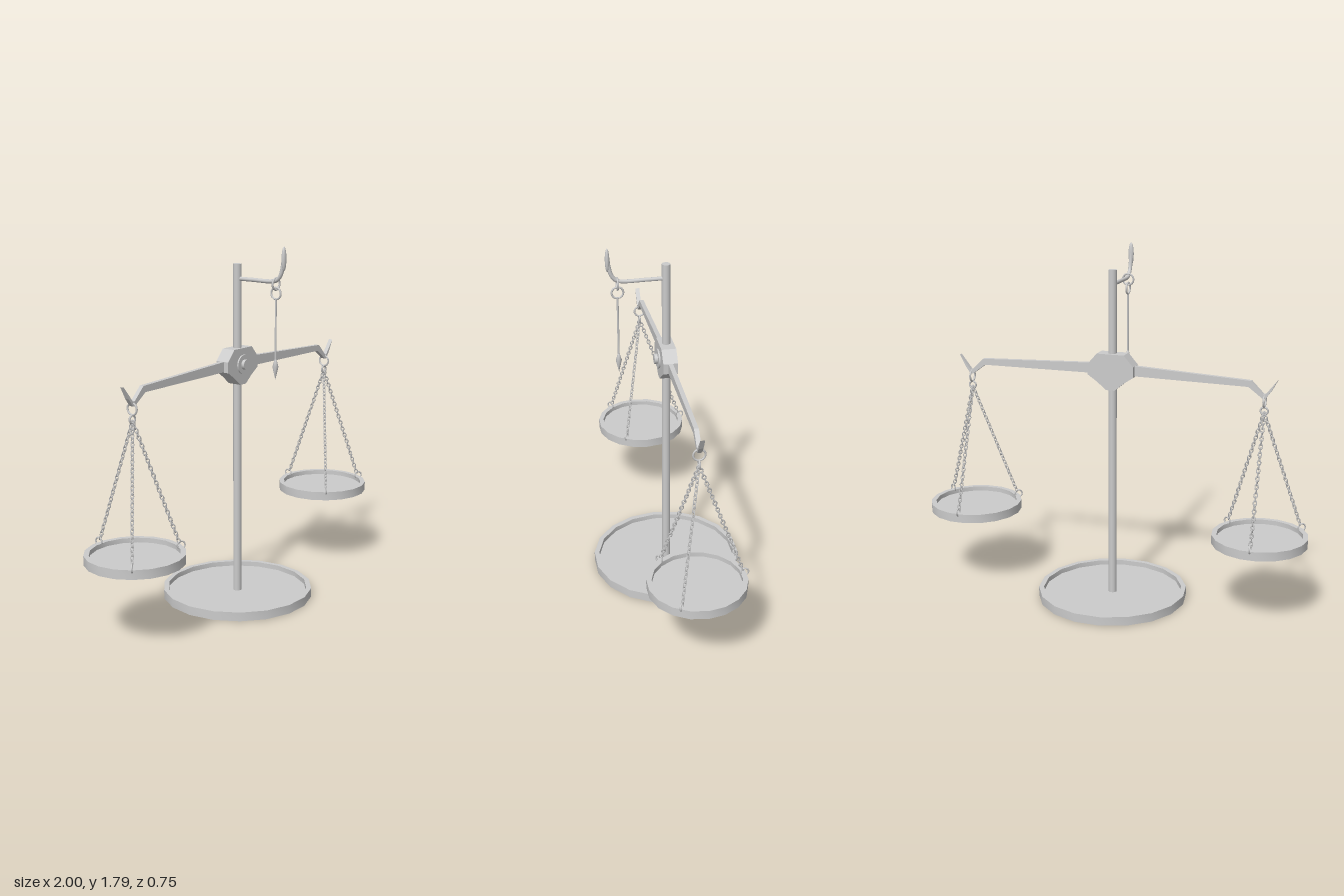
import * as THREE from 'three';
import { toCreasedNormals } from 'three/addons/utils/BufferGeometryUtils.js';

const mat = new THREE.MeshStandardMaterial({ color: 0xcccccc });
const V = (x, y, z) => new THREE.Vector3(x, y, z);

function add(parent, name, geo, x = 0, y = 0, z = 0) {
  const m = new THREE.Mesh(geo, mat);
  m.name = name;
  m.position.set(x, y, z);
  parent.add(m);
  return m;
}

// Shallow round tray with a raised rim
function dish(radius, height, floor, rim) {
  const p = [[0, 0], [radius, 0], [radius, height], [radius - rim, height], [radius - rim, floor], [0, floor]]
    .map(([x, y]) => new THREE.Vector2(x, y));
  return toCreasedNormals(new THREE.LatheGeometry(p, 18, Math.PI / 18), 0.6);
}

// Flat plate centred on z = 0
function plate(points, depth) {
  const s = new THREE.Shape(points.map(([x, y]) => new THREE.Vector2(x, y)));
  return new THREE.ExtrudeGeometry(s, { depth, bevelEnabled: false }).translate(0, 0, -depth / 2);
}

// Oval links, alternately turned a quarter, strung from a to b
const link = new THREE.TorusGeometry(0.0085, 0.0028, 4, 8).scale(1, 1.5, 1);
function chain(a, b) {
  const g = new THREE.Group();
  g.name = 'chain';
  const dir = b.clone().sub(a);
  const n = Math.round(dir.length() / 0.0195);
  const aim = new THREE.Quaternion().setFromUnitVectors(V(0, 1, 0), dir.clone().normalize());
  for (let i = 0; i < n; i++) {
    const m = add(g, 'chainLink', link);
    m.position.copy(a).addScaledVector(dir, (i + 0.5) / n);
    m.quaternion.copy(aim).multiply(
      new THREE.Quaternion().setFromAxisAngle(V(0, 1, 0), (i % 2) * Math.PI / 2));
  }
  return g;
}

function ring(parent, name, r, tube, x, y, z, turn = 0) {
  const m = add(parent, name, new THREE.TorusGeometry(r, tube, 6, 16), x, y, z);
  m.rotation.y = turn;
  return m;
}

export function createModel() {
  const model = new THREE.Group();
  model.name = 'balanceScale';

  // Stand
  add(model, 'base', dish(0.38, 0.045, 0.02, 0.025));
  add(model, 'post', new THREE.CylinderGeometry(0.021, 0.021, 1.67, 12), 0, 0.855, 0);

  // Hub with its pivot
  add(model, 'hub', plate([
    [-0.07, 1.28], [-0.118, 1.225], [-0.118, 1.172], [-0.07, 1.14], [-0.022, 1.1],
    [0.022, 1.1], [0.07, 1.14], [0.118, 1.172], [0.118, 1.225], [0.07, 1.28],
  ].reverse(), 0.072));
  for (const [name, r, z0, z1] of [['pivotWasher', 0.048, 0.03, 0.044], ['pivotPin', 0.025, 0.03, 0.06]]) {
    add(model, name, new THREE.CylinderGeometry(r, r, z1 - z0, 16).rotateX(Math.PI / 2), 0, 1.2, (z0 + z1) / 2);
  }

  // Beam arms, each ending in an upturned hook
  const arm = plate([
    [0.1, 1.175], [0.685, 1.17], [0.755, 1.118], [0.768, 1.118], [0.795, 1.155],
    [0.825, 1.213], [0.768, 1.14], [0.757, 1.14], [0.697, 1.2], [0.1, 1.226],
  ], 0.022);

  for (const side of [1, -1]) {
    add(model, 'beamArm', arm).rotation.y = side > 0 ? 0 : Math.PI;

    // Hanging pan with three chains
    const pan = new THREE.Group();
    pan.name = side > 0 ? 'leftPan' : 'rightPan';
    pan.position.x = side * 0.763;
    model.add(pan);
    add(pan, 'tray', dish(0.237, 0.045, 0.022, 0.025), 0, 0.385, 0);
    ring(pan, 'hookRing', 0.028, 0.005, 0, 1.105, 0, Math.PI / 2);
    ring(pan, 'chainRing', 0.018, 0.005, 0, 1.057, 0);
    for (const [x, z] of [[-0.005, -0.226], [-0.178, 0.146], [0.193, 0.113]]) {
      ring(pan, 'trayRing', 0.019, 0.004, x, 0.438, z, -Math.atan2(z, x));
      pan.add(chain(V(0, 1.05, 0), V(x * 0.96, 0.452, z * 0.96)));
    }
  }

  // Bracket rod, curving up into a leaf-shaped finial
  const path = new THREE.CatmullRomCurve3([
    V(0, 1.618, 0), V(0, 1.618, 0.1), V(0, 1.618, 0.2), V(0, 1.625, 0.235),
    V(0, 1.65, 0.258), V(0, 1.69, 0.27), V(0, 1.74, 0.277),
  ]);
  add(model, 'bracket', new THREE.TubeGeometry(path, 28, 0.01, 8));
  add(model, 'finial', new THREE.SphereGeometry(1, 12, 10).scale(0.014, 0.058, 0.011), 0, 1.728, 0.277);

  // Plumb bob hanging on two rings
  ring(model, 'bracketRing', 0.028, 0.005, 0, 1.608, 0.232);
  ring(model, 'bobRing', 0.028, 0.005, 0, 1.563, 0.232, Math.PI / 2);
  add(model, 'bobRod', new THREE.CylinderGeometry(0.005, 0.005, 0.31, 6), 0, 1.385, 0.232);
  const bob = [[0, 0], [0.015, 0.065], [0.005, 0.1], [0, 0.1]].map(([x, y]) => new THREE.Vector2(x, y));
  add(model, 'bobPoint', new THREE.LatheGeometry(bob, 8), 0, 1.145, 0.232);

  return model;
}
